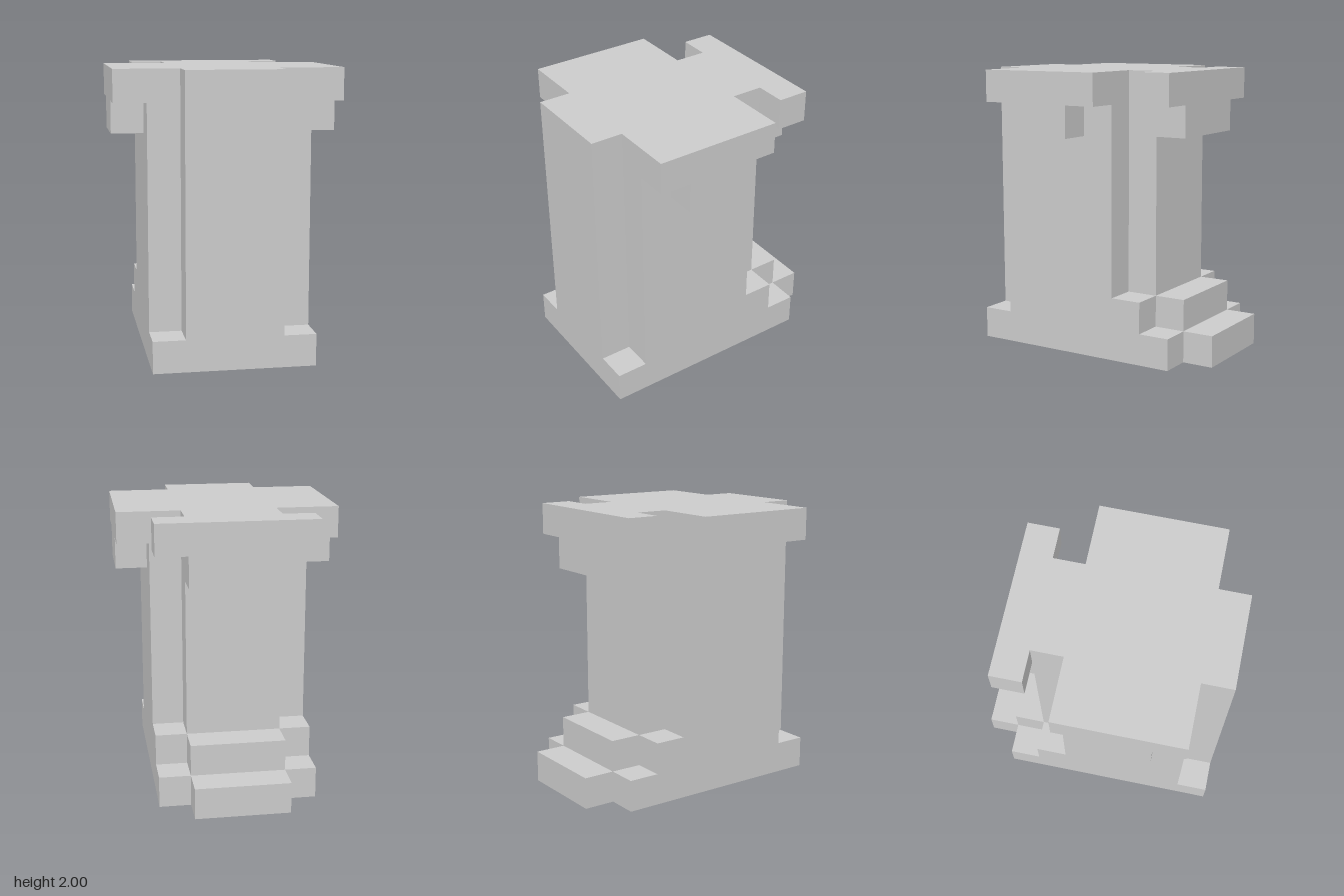
import * as THREE from 'three';

const U = 2 / 9; // one block

// Each course: name, bottom, top, and right half of its plan as [x, z] from front to back, in blocks
const COURSES = [
  ['base', 0, 1, [[2.5, 4], [2.5, -3], [1.5, -3], [1.5, -4]]],
  ['rearStep', 1, 2, [[1.5, 4], [1.5, 3], [2.5, 3], [2.5, -2], [1.5, -2], [1.5, -3]]],
  ['shaft', 2, 7, [[1.5, 4], [1.5, 3], [2.5, 3], [2.5, -1], [1.5, -1], [1.5, -2]]],
  ['corbels', 7, 8, [[1.5, 4], [1.5, 3], [2.5, 3], [2.5, 2], [3.5, 2], [3.5, 0],
    [2.5, 0], [2.5, -1], [1.5, -1], [1.5, -3]]],
  ['cap', 8, 9, [[1.5, 4], [1.5, 3], [3.5, 3], [3.5, -1], [1.5, -1], [1.5, -2],
    [2.5, -2], [2.5, -3]]],
];

// Mirror the half plan across x = 0 and raise it to the height of the course
function courseGeometry(half, bottom, top) {
  const mirrored = half.map(([x, z]) => [-x, z]).reverse();
  const outline = [...half, ...mirrored].map(([x, z]) => new THREE.Vector2(x * U, -z * U));
  const geometry = new THREE.ExtrudeGeometry(new THREE.Shape(outline), {
    depth: (top - bottom) * U,
    bevelEnabled: false,
  });
  return geometry.rotateX(-Math.PI / 2).translate(0, bottom * U, 0);
}

export function createModel() {
  const model = new THREE.Group();
  model.name = 'blockPillar';
  const material = new THREE.MeshStandardMaterial({ color: 0xcccccc, flatShading: true });
  for (const [name, bottom, top, half] of COURSES) {
    const mesh = new THREE.Mesh(courseGeometry(half, bottom, top), material);
    mesh.name = name;
    model.add(mesh);
  }
  return model;
}
